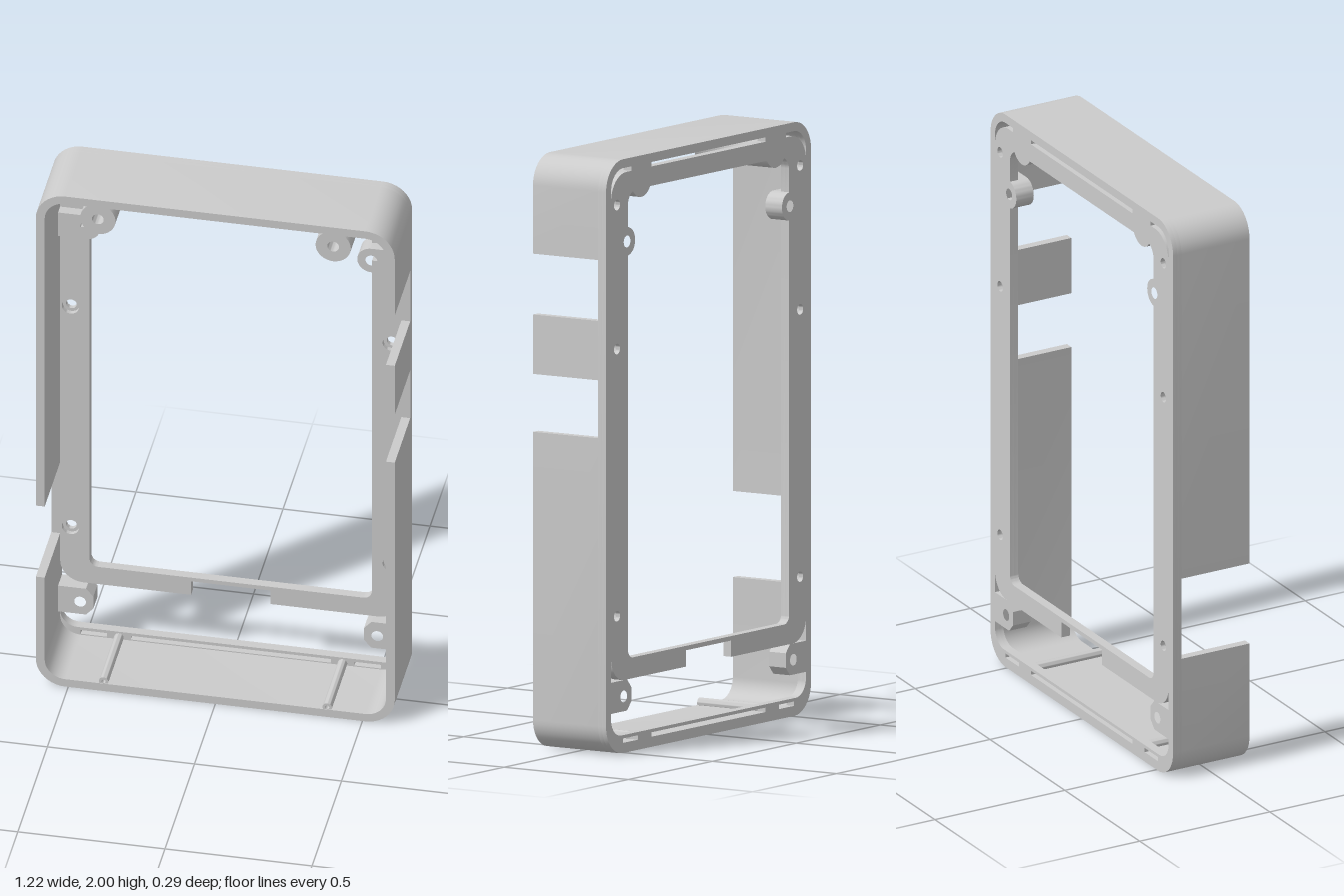
import * as THREE from 'three';
import { toCreasedNormals } from 'three/addons/utils/BufferGeometryUtils.js';

const W = 0.61, H = 2, BACK = -0.147, FRONT = 0.147, PLATE = -0.115;
const IN = 0.58, RO = 0.1, RI = 0.07;
const material = new THREE.MeshStandardMaterial({ color: 0xcccccc });

// Extrude a shape between two depths, with smooth curves and sharp edges
function slab(group, name, shape, z0, z1) {
  let geo = new THREE.ExtrudeGeometry(shape, { depth: z1 - z0, bevelEnabled: false, curveSegments: 16 });
  geo.translate(0, 0, z0);
  geo = toCreasedNormals(geo, 0.6);
  const mesh = new THREE.Mesh(geo, material);
  mesh.name = name;
  group.add(mesh);
}

function circle(x, y, r) {
  const p = new THREE.Path();
  p.absarc(x, y, r, 0, Math.PI * 2, true);
  return p;
}

function disc(x, y, r, hole) {
  const s = new THREE.Shape();
  s.absarc(x, y, r, 0, Math.PI * 2, false);
  if (hole) s.holes.push(circle(x, y, hole));
  return s;
}

const polygon = (pts) => new THREE.Path(pts.map(([x, y]) => new THREE.Vector2(x, y)));

const rect = (x0, y0, x1, y1) => polygon([[x0, y0], [x1, y0], [x1, y1], [x0, y1]]);

// Points along an arc, angles in quarter turns
function arc(cx, cy, r, a0, a1, n = 10) {
  return Array.from({ length: n + 1 }, (_, i) => {
    const a = (a0 + (a1 - a0) * i / n) * Math.PI / 2;
    return [cx + r * Math.cos(a), cy + r * Math.sin(a)];
  });
}

const mirror = (pts) => pts.map(([x, y]) => [-x, y]).reverse();

// Full back plate outline with its openings
function plateShape(screwRadius) {
  const s = new THREE.Shape(polygon([
    ...arc(W - RO, H - RO, RO, 0, 1), ...arc(-W + RO, H - RO, RO, 1, 2),
    ...arc(-W + RO, RO, RO, 2, 3), ...arc(W - RO, RO, RO, 3, 4)]).getPoints());

  // Main window, relieved behind the upper ears
  const side = [
    ...arc(0.45, 0.345, 0.03, 3, 4), [0.48, 1.695], [0.51, 1.695], [0.51, 1.745], [0.48, 1.745],
    ...arc(0.43, 1.84, 0.05, 0, 1)];
  s.holes.push(polygon([...side, ...mirror(side)]));

  // Lower opening with the notched crossbar above it
  const low = [
    ...arc(0.52, 0.12, 0.06, 3, 4), ...arc(0.5, 0.325, 0.08, 4, 3), [0.135, 0.245], [0.135, 0.3]];
  s.holes.push(polygon([...low, ...mirror(low)]));

  // Narrow slots along the top, corners and bottom
  s.holes.push(rect(-0.34, 1.955, 0.34, 1.97), rect(-0.34, 0.034, 0.34, 0.049));
  const corner = [
    [0.46, 1.955], [0.46, 1.97], ...arc(IN - RI, 1.9, RI, 1, 0), ...arc(0.49, 1.865, 0.09, 0, 1)];
  s.holes.push(polygon(corner), polygon(mirror(corner)));
  for (const k of [-1, 1]) {
    s.holes.push(rect(k * 0.42, 0.034, k * 0.51, 0.049));
    for (const y of [0.465, 1.365, 1.85]) s.holes.push(circle(k * 0.545, y, screwRadius));
  }
  return s;
}

export function createModel() {
  const model = new THREE.Group();
  model.name = 'enclosureFrame';

  // Back plate in two layers, giving counterbored screw holes
  slab(model, 'backPlateRear', plateShape(0.018), BACK, -0.131);
  slab(model, 'backPlateFront', plateShape(0.029), -0.131, PLATE);

  // Outer wall, interrupted by side cutouts
  const upper = polygon([
    [W, 1.67], ...arc(W - RO, H - RO, RO, 0, 1), ...arc(-W + RO, H - RO, RO, 1, 2), [-W, 0.725],
    [-IN, 0.725], ...arc(-IN + RI, 1.9, RI, 2, 1), ...arc(IN - RI, 1.9, RI, 1, 0), [IN, 1.67]]);
  const lower = polygon([
    [-W, 0.435], ...arc(-W + RO, RO, RO, 2, 3), ...arc(W - RO, RO, RO, 3, 4), [W, 1.07],
    [IN, 1.07], ...arc(IN - RI, 0.1, RI, 4, 3), ...arc(-IN + RI, 0.1, RI, 3, 2), [-IN, 0.435]]);
  const walls = { upperWall: upper, lowerWall: lower, leftWallTab: rect(IN, 1.265, W, 1.465) };
  for (const [name, path] of Object.entries(walls)) {
    slab(model, name, new THREE.Shape(path.getPoints()), PLATE, FRONT);
  }

  for (const k of [-1, 1]) {
    const tag = k > 0 ? 'left' : 'right';

    // Tall top post with a blind hole
    slab(model, tag + 'PostBase', disc(k * 0.4, 1.92, 0.06), BACK, 0.02);
    slab(model, tag + 'PostEnd', disc(k * 0.4, 1.92, 0.06, 0.02), 0.02, 0.143);

    // Rounded upper mounting ear
    const ear = [[0.59, 1.672], ...arc(0.485, 1.72, 0.048, 3, 1, 20), [0.59, 1.768]];
    const earShape = new THREE.Shape(polygon(k > 0 ? ear : mirror(ear)).getPoints());
    earShape.holes.push(circle(k * 0.485, 1.72, 0.02));
    slab(model, tag + 'UpperEar', earShape, BACK, -0.08);

    // Chamfered lower mounting ear
    const foot = [
      [0.59, 0.14], [0.485, 0.14], [0.46, 0.168], [0.46, 0.217], [0.485, 0.245], [0.59, 0.245]];
    const footShape = new THREE.Shape(polygon(k > 0 ? foot : mirror(foot)).getPoints());
    footShape.holes.push(circle(k * 0.505, 0.19, 0.02));
    slab(model, tag + 'LowerEar', footShape, BACK, -0.08);

    // Slim rod along the floor
    slab(model, tag + 'FloorRod', disc(k * 0.38, 0.038, 0.016, 0.007), -0.12, 0.145);
  }
  return model;
}
